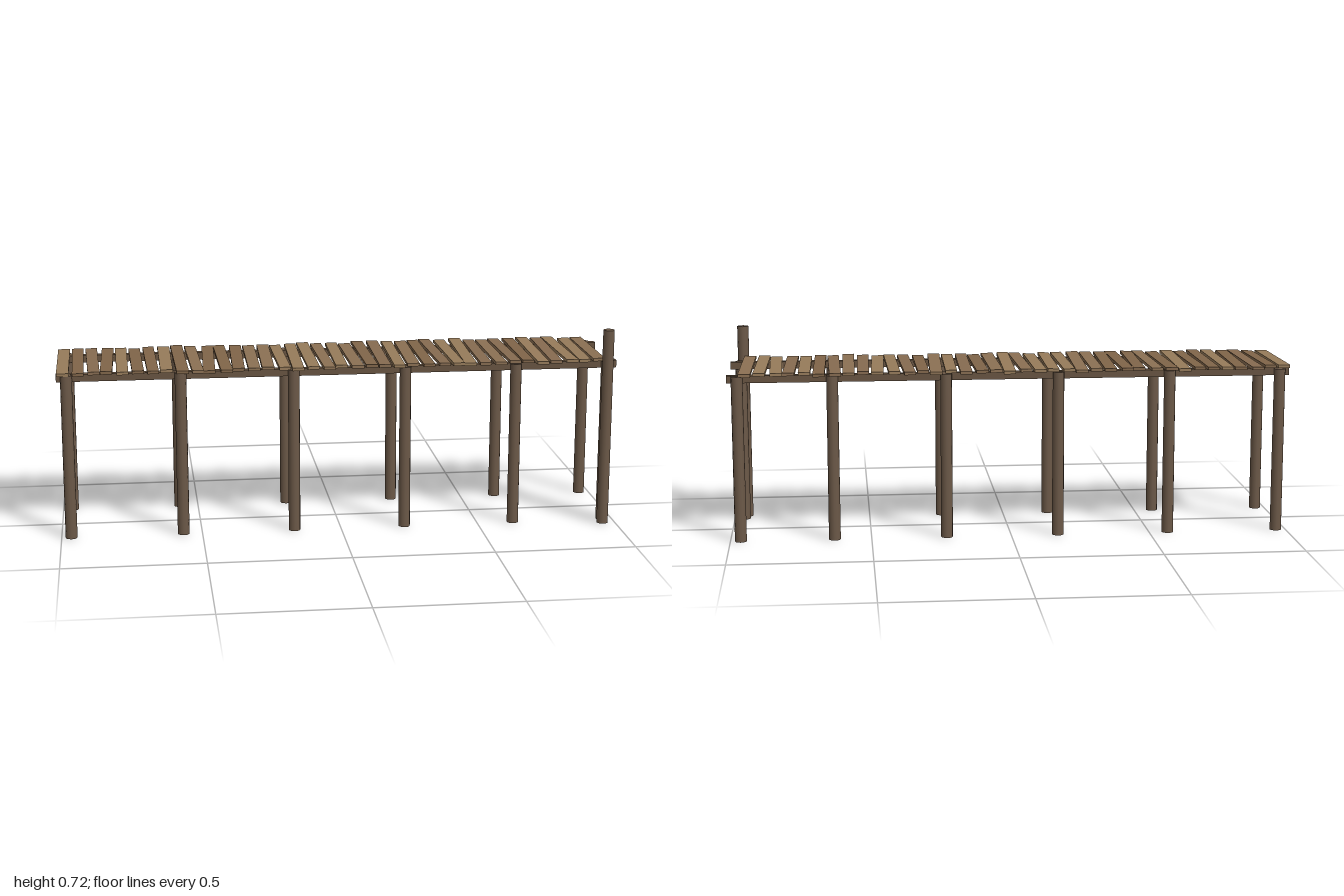
import * as THREE from 'three';

const postMat = new THREE.MeshStandardMaterial({ color: 0x6b5847 });
const beamMat = new THREE.MeshStandardMaterial({ color: 0x66523f });
const plankMats = [0x8b7053, 0x806549, 0x967b5a, 0x866b50].map(
  (color) => new THREE.MeshStandardMaterial({ color })
);

// Small seeded generator returning -1..1
function makeRandom(seed) {
  let s = seed;
  return () => {
    s = (s * 16807) % 2147483647;
    return (s / 2147483647) * 2 - 1;
  };
}

function post(name, x, z, height) {
  const mesh = new THREE.Mesh(new THREE.CylinderGeometry(0.0205, 0.021, height, 12), postMat);
  mesh.name = name;
  mesh.position.set(x, height / 2, z);
  return mesh;
}

export function createModel() {
  const pier = new THREE.Group();
  pier.name = 'pier';
  const rand = makeRandom(4711);

  // Support posts in two rows
  const posts = new THREE.Group();
  posts.name = 'supportPosts';
  for (const x of [-0.965, -0.567, -0.168, 0.231, 0.631, 0.963]) {
    posts.add(post('frontPost', x, 0.161, 0.592));
    posts.add(post('backPost', x, -0.182, 0.592));
  }
  pier.add(posts);

  // Tall mooring post at the front corner
  pier.add(post('mooringPost', 0.955, 0.206, 0.716));

  // Long beams under the deck
  for (const [name, z] of [['frontBeam', 0.143], ['backBeam', -0.163]]) {
    const beam = new THREE.Mesh(new THREE.BoxGeometry(2, 0.026, 0.026), beamMat);
    beam.name = name;
    beam.position.set(0, 0.58, z);
    pier.add(beam);
  }

  // Deck planks, each slightly out of line with its neighbours
  const deck = new THREE.Group();
  deck.name = 'deck';
  const count = 38;
  for (let i = 0; i < count; i++) {
    const length = 0.395 + rand() * 0.013;
    const plank = new THREE.Mesh(
      new THREE.BoxGeometry(0.042 + rand() * 0.002, 0.011, length),
      plankMats[Math.floor((rand() + 1) * 1.999)]
    );
    plank.name = 'plank';
    plank.position.set(-0.977 + (i * 1.91) / (count - 1), 0.6, -0.012 + rand() * 0.011);
    plank.rotation.set(rand() * 0.015, rand() * 0.035, rand() * 0.03);
    deck.add(plank);
  }
  pier.add(deck);

  return pier;
}
